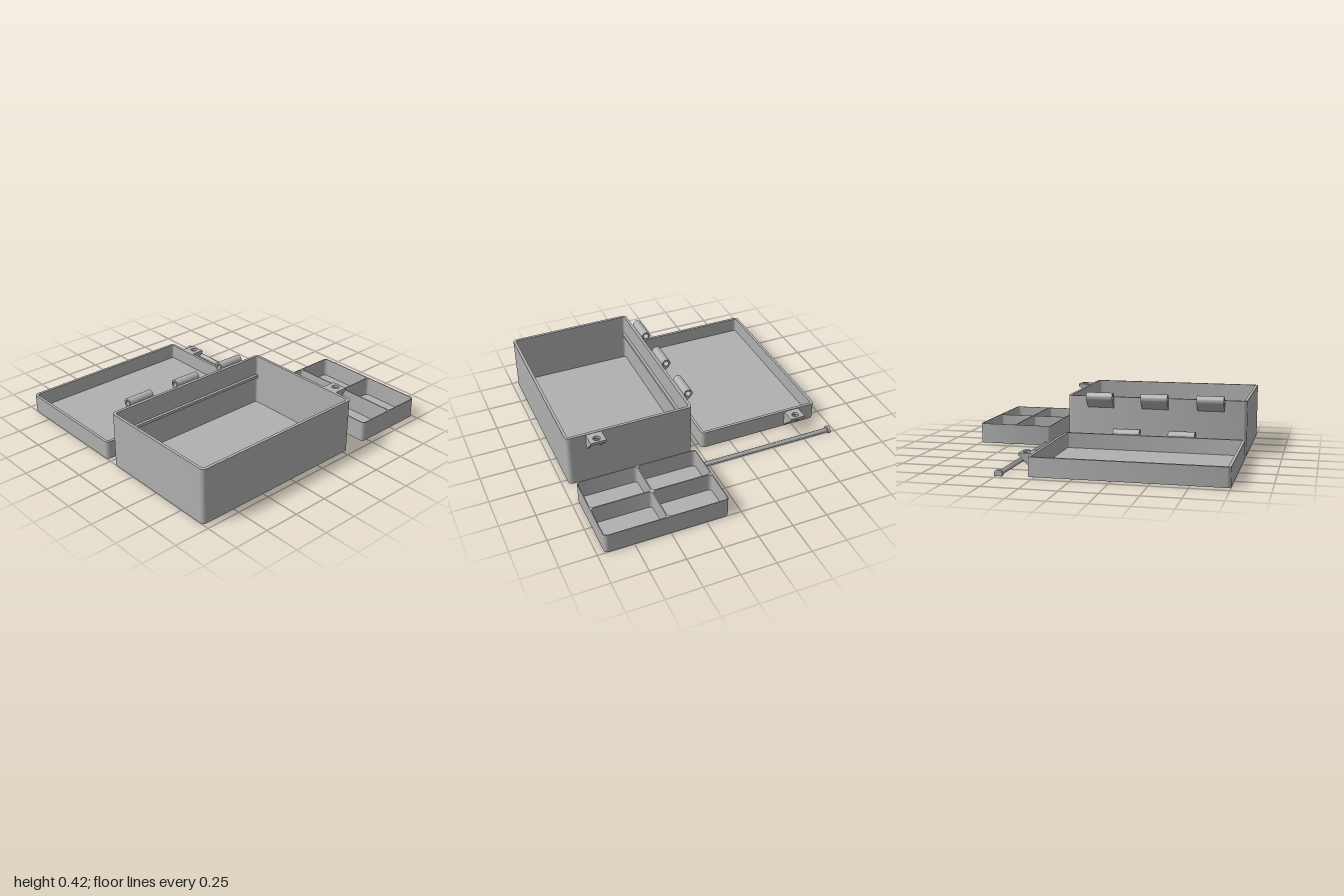
import * as THREE from 'three';
import { toCreasedNormals } from 'three/addons/utils/BufferGeometryUtils.js';

const plastic = new THREE.MeshStandardMaterial({ color: 0xb0b0b0 });
plastic.name = 'grey plastic';

function addMesh(parent, name, geometry) {
  const mesh = new THREE.Mesh(toCreasedNormals(geometry, 0.6), plastic);
  mesh.name = name;
  parent.add(mesh);
  return mesh;
}

function addGroup(parent, name) {
  const group = new THREE.Group();
  group.name = name;
  parent.add(group);
  return group;
}

const extrude = (shape, depth) =>
  new THREE.ExtrudeGeometry(shape, { depth, bevelEnabled: false, curveSegments: 12 });

// Plan outline (x, z) raised from y0 to y1
const slab = (shape, y0, y1) => extrude(shape, y1 - y0).rotateX(Math.PI / 2).translate(0, y1, 0);

// Side outline (z, y) swept from x0 to x1
const sweepX = (shape, x0, x1) => extrude(shape, x1 - x0).rotateY(-Math.PI / 2).translate(x1, 0, 0);

function roundedRect(x0, z0, x1, z1, r) {
  const s = new THREE.Shape();
  s.absarc(x1 - r, z1 - r, r, 0, Math.PI / 2);
  s.absarc(x0 + r, z1 - r, r, Math.PI / 2, Math.PI);
  s.absarc(x0 + r, z0 + r, r, Math.PI, Math.PI * 1.5);
  s.absarc(x1 - r, z0 + r, r, Math.PI * 1.5, Math.PI * 2);
  s.closePath();
  return s;
}

// Open container with one or more pockets
function addContainer(parent, outer, pockets, floor, height) {
  addMesh(parent, 'floor', slab(roundedRect(...outer), 0, floor));
  const walls = roundedRect(...outer);
  walls.holes = pockets.map((p) => roundedRect(...p));
  addMesh(parent, 'walls', slab(walls, floor, height));
}

// Hinge knuckle: a ring with a sloping web; side is +1 when the wall lies toward +x
function addKnuckles(parent, cx, cy, side, starts) {
  const r = 0.033, reach = 0.037;
  const pts = [[reach, -0.083]];
  for (let i = 0; i <= 20; i++) {
    const a = THREE.MathUtils.degToRad(225 - (225 * i) / 20);
    pts.push([r * Math.cos(a), r * Math.sin(a)]);
  }
  pts.push([reach, 0]);
  const shape = new THREE.Shape(pts.map(([x, y]) => new THREE.Vector2(cx + side * x, cy + y)));
  shape.holes.push(new THREE.Path().absarc(cx, cy, 0.02, 0, Math.PI * 2));
  for (const z of starts) addMesh(parent, 'hingeKnuckle', extrude(shape, 0.192).translate(0, 0, z));
}

// Latch tab: a drilled plate held by two triangular gussets
function addLatch(parent, cx, top) {
  const latch = addGroup(parent, 'latchTab');
  const half = 0.056;
  const plate = new THREE.Shape([
    new THREE.Vector2(cx - half, -0.4), new THREE.Vector2(cx + half, -0.4),
    new THREE.Vector2(cx + half, -0.298), new THREE.Vector2(cx - half, -0.298),
  ]);
  plate.holes.push(new THREE.Path().absarc(cx, -0.36, 0.025, 0, Math.PI * 2));
  addMesh(latch, 'latchPlate', slab(plate, top - 0.02, top));
  const gusset = new THREE.Shape([
    new THREE.Vector2(-0.298, top - 0.02), new THREE.Vector2(-0.395, top - 0.02),
    new THREE.Vector2(-0.298, top - 0.118),
  ]);
  for (const x of [cx - half, cx + half - 0.018]) {
    addMesh(latch, 'latchGusset', sweepX(gusset, x, x + 0.018));
  }
}

// Round bar outline with its underside cut flat at y = 0
function flatRound(r, cy, z) {
  const a = Math.asin(cy / r);
  const s = new THREE.Shape();
  s.absarc(z, cy, r, -a, Math.PI + a);
  s.closePath();
  return s;
}

export function createModel() {
  const model = new THREE.Group();
  model.name = 'hingedBoxKit';

  // Deep box with tray rails
  const box = addGroup(model, 'box');
  addContainer(box, [0.045, -0.3, 0.955, 1, 0.03], [[0.065, -0.28, 0.935, 0.98, 0.015]], 0.02, 0.39);
  for (const x of [0.074, 0.926]) {
    const rail = addMesh(box, 'trayRail', new THREE.BoxGeometry(0.022, 0.02, 1.25));
    rail.position.set(x, 0.235, 0.35);
  }
  addKnuckles(box, 0.01, 0.39, 1, [-0.15, 0.25, 0.65]);
  addLatch(box, 0.76, 0.387);

  // Shallow lid
  const lid = addGroup(model, 'lid');
  addContainer(lid, [-0.935, -0.3, -0.03, 1, 0.03], [[-0.915, -0.28, -0.05, 0.98, 0.015]], 0.02, 0.13);
  addKnuckles(lid, 0.005, 0.13, -1, [0.05, 0.45]);
  addLatch(lid, -0.744, 0.125);

  // Tray with four compartments
  const tray = addGroup(model, 'tray');
  const pockets = [];
  for (const [x0, x1] of [[0.096, 0.516], [0.524, 0.944]]) {
    for (const [z0, z1] of [[-0.994, -0.732], [-0.724, -0.461]]) pockets.push([x0, z0, x1, z1, 0.025]);
  }
  addContainer(tray, [0.09, -1, 0.95, -0.455, 0.025], pockets, 0.01, 0.145);

  // Hinge pin lying behind the lid
  const pin = addGroup(model, 'hingePin');
  addMesh(pin, 'pinShaft', sweepX(flatRound(0.017, 0.0125, -0.485), -0.942, 0.065));
  addMesh(pin, 'pinHead', sweepX(flatRound(0.029, 0.0125, -0.485), -0.96, -0.94));

  return model;
}
